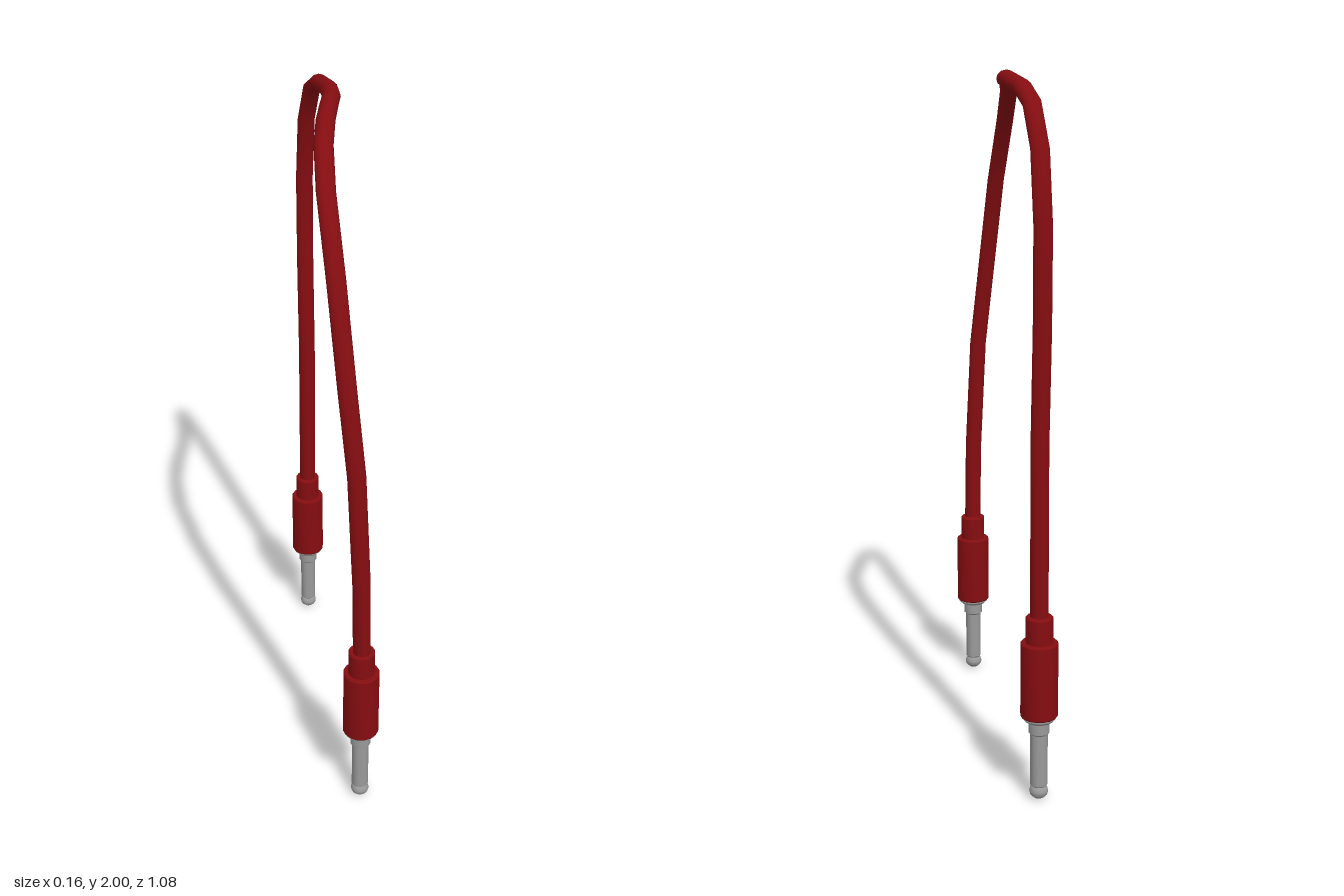
import * as THREE from 'three';
import { toCreasedNormals } from 'three/addons/utils/BufferGeometryUtils.js';

const red = new THREE.MeshStandardMaterial({ color: 0x850d11 });
red.name = 'red plastic';
const metal = new THREE.MeshStandardMaterial({ color: 0x999999 });
metal.name = 'grey metal';

// Turned part from [radius, y] pairs listed bottom to top
function turned(name, profile, material) {
  const points = profile.map(([r, y]) => new THREE.Vector2(r, y));
  const geometry = toCreasedNormals(new THREE.LatheGeometry(points, 16), 0.6);
  const mesh = new THREE.Mesh(geometry, material);
  mesh.name = name;
  return mesh;
}

// Plug: rounded tip, pin, metal flange, gripped body and cable sleeve
function makePlug(name, x, z) {
  const plug = new THREE.Group();
  plug.name = name;
  plug.add(
    turned('pin', [
      [0, 0], [0.014, 0.003], [0.024, 0.012], [0.027, 0.022], [0.024, 0.033],
      [0.02, 0.038], [0.025, 0.043], [0.025, 0.195], [0.03, 0.2], [0.03, 0.235],
      [0.04, 0.235], [0.048, 0.243], [0.048, 0.252], [0, 0.252],
    ], metal),
    turned('body', [
      [0, 0.248], [0.05, 0.248], [0.053, 0.252], [0.053, 0.462], [0.05, 0.466], [0.039, 0.466],
    ], red),
    turned('sleeve', [[0.039, 0.46], [0.039, 0.536], [0.036, 0.54], [0, 0.54]], red),
  );
  plug.position.set(x, 0, z);
  return plug;
}

// Cable: rings along a path of [x, y, z, in-plane half width]
function makeCable() {
  const path = [
    [0.015, 0.52, 0.487, 0.026], [0.008, 0.785, 0.5, 0.023], [-0.008, 1.13, 0.495, 0.02],
    [-0.03, 1.385, 0.463, 0.018], [-0.048, 1.665, 0.4, 0.017], [-0.053, 1.855, 0.288, 0.019],
    [-0.038, 1.94, 0.172, 0.022], [-0.013, 1.97, 0.066, 0.024], [0.018, 1.976, -0.05, 0.024],
    [0.037, 1.975, -0.12, 0.024], [0.045, 1.971, -0.2, 0.024], [0.041, 1.953, -0.336, 0.022],
    [0.034, 1.913, -0.415, 0.021], [0.028, 1.8, -0.479, 0.019], [0.026, 1.606, -0.508, 0.015],
    [0.026, 1.34, -0.505, 0.015], [0.026, 1.015, -0.484, 0.022], [0.025, 0.52, -0.483, 0.026],
  ];
  const sides = 12, half = 0.026;
  const centres = path.map(([x, y, z]) => new THREE.Vector3(x, y, z));
  const positions = [], index = [];
  centres.forEach((c, i) => {
    const before = centres[Math.max(i - 1, 0)], after = centres[Math.min(i + 1, path.length - 1)];
    const inDir = c.clone().sub(before).normalize(), outDir = after.clone().sub(c).normalize();
    const t = inDir.add(outDir).normalize();
    const side = new THREE.Vector3(1, 0, 0).addScaledVector(t, -t.x).normalize();
    const normal = side.clone().cross(t);
    for (let j = 0; j < sides; j++) {
      const a = (j / sides) * Math.PI * 2;
      const p = c.clone()
        .addScaledVector(normal, Math.cos(a) * path[i][3])
        .addScaledVector(side, Math.sin(a) * half);
      positions.push(p.x, p.y, p.z);
      if (i < path.length - 1) {
        const k = (j + 1) % sides, r = i * sides, n = r + sides;
        index.push(r + j, r + k, n + j, r + k, n + k, n + j);
      }
    }
  });
  const geometry = new THREE.BufferGeometry();
  geometry.setAttribute('position', new THREE.Float32BufferAttribute(positions, 3));
  geometry.setIndex(index);
  geometry.computeVertexNormals();
  const mesh = new THREE.Mesh(geometry, red);
  mesh.name = 'cable';
  return mesh;
}

export function createModel() {
  const model = new THREE.Group();
  model.name = 'patch cable';
  model.add(makePlug('frontPlug', 0.015, 0.485), makePlug('backPlug', 0.025, -0.485), makeCable());
  return model;
}
